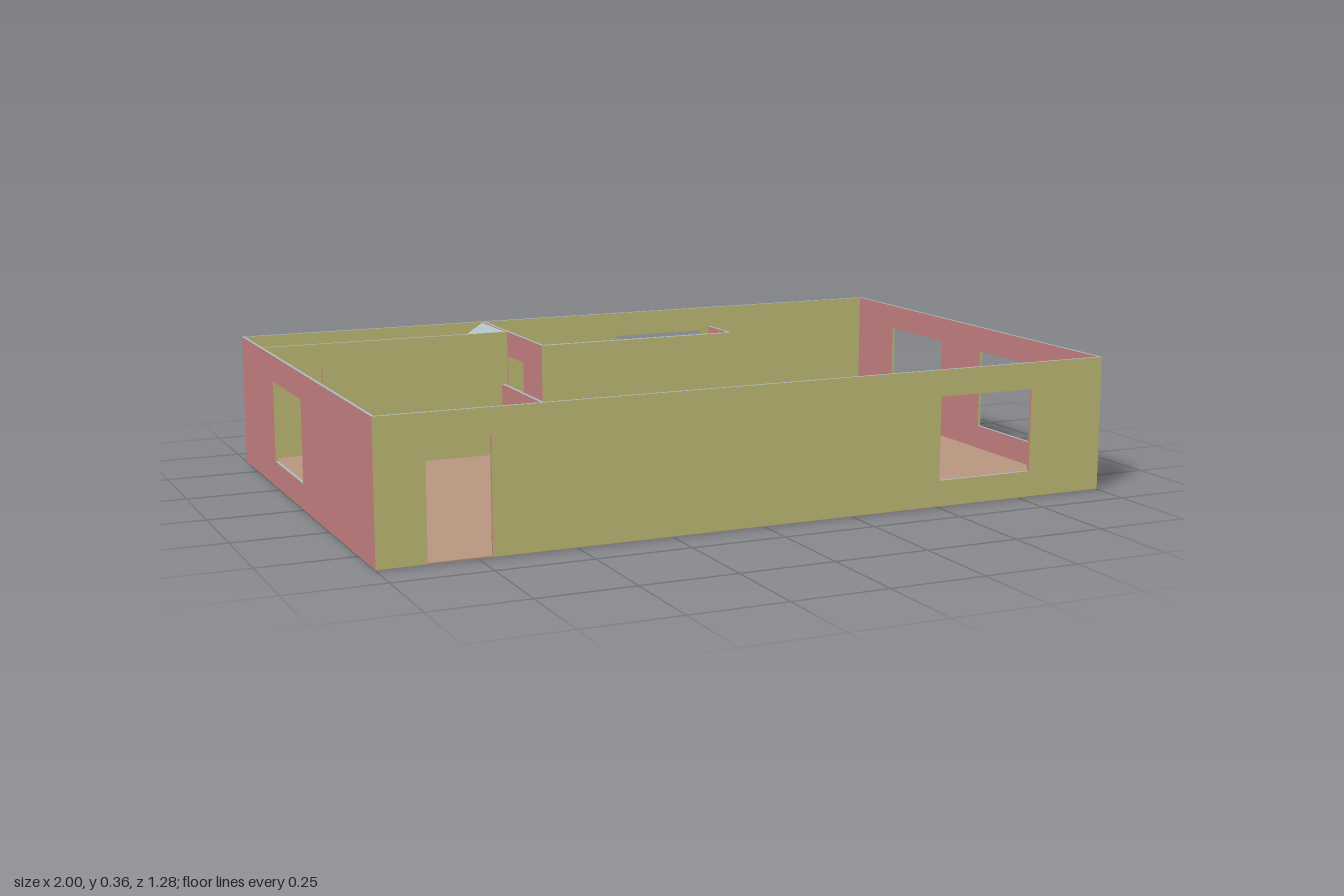
import * as THREE from 'three';

const H = 0.36, BASE = 0.002, SILL = 0.07, HEAD = 0.29, T = 0.008;

function material(name, color) {
  const m = new THREE.MeshStandardMaterial({ color });
  m.name = name;
  return m;
}

export function createModel() {
  const group = new THREE.Group();
  const floorTan = material('floor tan', 0xbc9981);
  const paleGrey = material('pale blue grey', 0xb0bec5);
  // Wall colours, one for each compass direction, plus the trim on top
  const paints = [
    material('front yellow', 0xcbc67d),
    material('back blue', 0x69a8c8),
    material('left green', 0x66cc86),
    material('right rose', 0xc68080),
    paleGrey,
  ];

  function add(name, geometry, mat) {
    const mesh = new THREE.Mesh(geometry, mat);
    mesh.name = name;
    group.add(mesh);
  }

  // Sorts the triangles of a wall into groups by the way they face
  function paintByDirection(geometry) {
    const n = geometry.attributes.normal;
    geometry.clearGroups();
    for (let i = 0; i < n.count; i += 3) {
      const x = n.getX(i), z = n.getZ(i);
      const index = z > 0.5 ? 0 : z < -0.5 ? 1 : x > 0.5 ? 2 : x < -0.5 ? 3 : 4;
      geometry.addGroup(i, 3, index);
    }
  }

  // Wall along x or z; doors notch the outline, windows are holes
  function wall(name, axis, at, from, to, { doors = [], windows = [], t = T } = {}) {
    const shape = new THREE.Shape();
    shape.moveTo(from, BASE);
    for (const [a, b] of doors) {
      shape.lineTo(a, BASE);
      shape.lineTo(a, HEAD);
      shape.lineTo(b, HEAD);
      shape.lineTo(b, BASE);
    }
    shape.lineTo(to, BASE);
    shape.lineTo(to, H);
    shape.lineTo(from, H);
    shape.closePath();
    for (const [a, b] of windows) {
      const hole = new THREE.Path();
      hole.moveTo(a, SILL);
      hole.lineTo(a, HEAD);
      hole.lineTo(b, HEAD);
      hole.lineTo(b, SILL);
      hole.closePath();
      shape.holes.push(hole);
    }
    const g = new THREE.ExtrudeGeometry(shape, { depth: t, bevelEnabled: false });
    g.translate(0, 0, -t / 2);
    if (axis === 'z') g.rotateY(-Math.PI / 2).translate(at, 0, 0);
    else g.translate(0, 0, at);
    paintByDirection(g);
    add(name, g, paints);
  }

  // Floor slab
  add('floor', new THREE.BoxGeometry(1.998, 0.004, 1.276).translate(0, 0.002, 0), floorTan);

  // Outer walls
  const ex = 1 - T / 2, ez = 0.64 - T / 2, inX = 1 - T, inZ = 0.64 - T;
  wall('frontWall', 'x', ez, -1, 1, { doors: [[-0.875, -0.715]], windows: [[0.505, 0.78]] });
  wall('backWall', 'x', -ez, -1, 1, { windows: [[0.145, 0.42]] });
  wall('leftWall', 'z', ex, -inZ, inZ, { windows: [[-0.425, -0.14], [0.07, 0.51]] });
  wall('rightWall', 'z', -ex, -inZ, inZ, { windows: [[-0.29, 0]] });

  // Inner walls
  wall('stairWall', 'x', -0.425, -inX, -0.287, { doors: [[-0.97, -0.83]] });
  wall('stairEndWall', 'z', -0.283, -inZ, -0.156, { doors: [[-0.415, -0.29]] });
  wall('middleWall', 'x', -0.15, -0.287, 0.292, { t: 0.012 });
  wall('middleWallReturn', 'z', 0.288, -0.28, -0.156);
  wall('entryPartition', 'z', -0.585, 0.37, inZ);

  // Stair ramp rising along the back wall
  const wedge = new THREE.Shape();
  wedge.moveTo(-0.83, 0.004);
  wedge.lineTo(-0.288, 0.004);
  wedge.lineTo(-0.288, H - 0.002);
  wedge.closePath();
  const ramp = new THREE.ExtrudeGeometry(wedge, { depth: 0.2, bevelEnabled: false });
  add('stairRamp', ramp.translate(0, 0, -0.631), paleGrey);

  return group;
}
